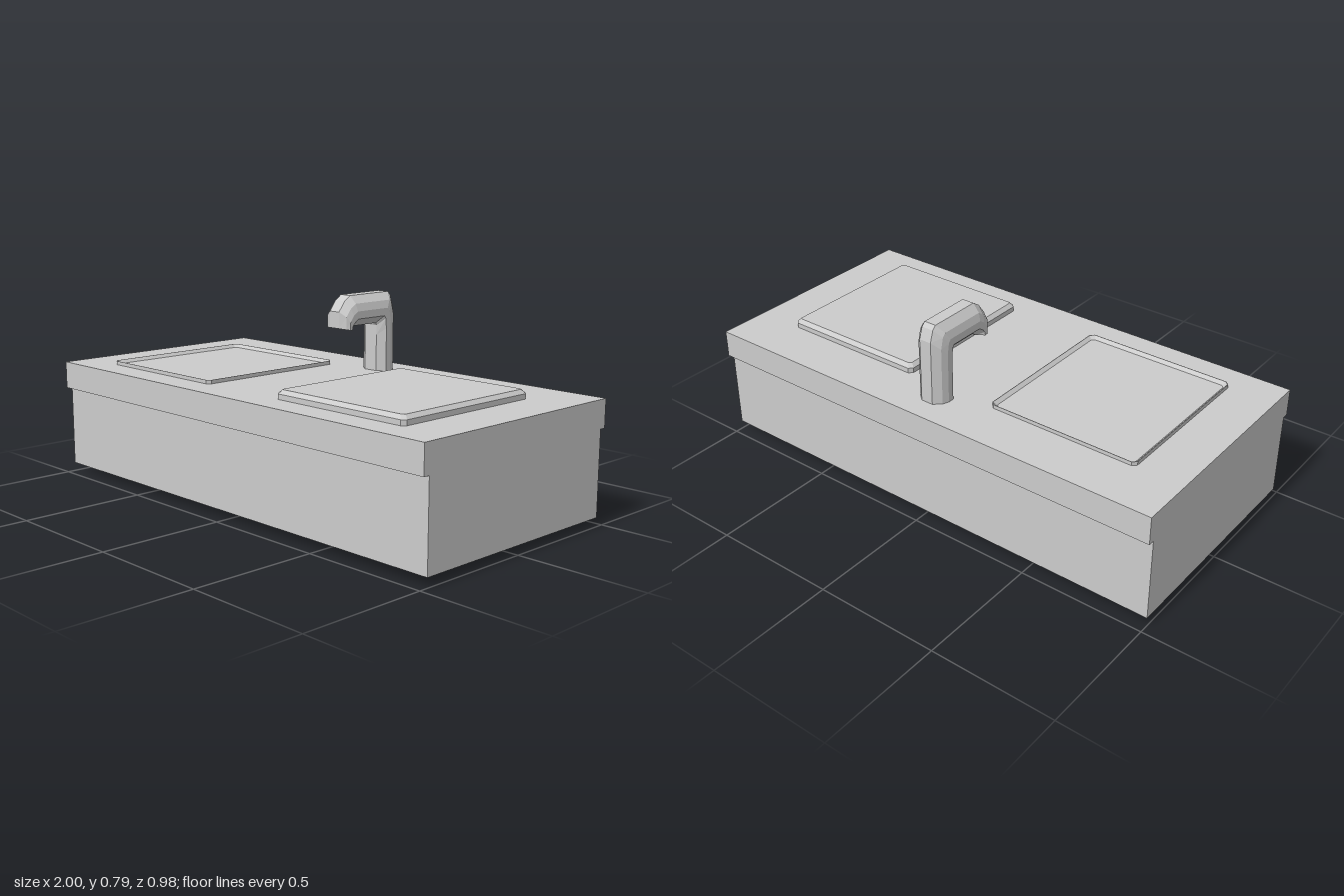
import * as THREE from 'three';

const grey = () => new THREE.MeshStandardMaterial({ color: 0xcccccc, flatShading: true, side: THREE.DoubleSide });

function add(group, name, geometry, x = 0, y = 0, z = 0) {
  const mesh = new THREE.Mesh(geometry, grey());
  mesh.name = name;
  mesh.position.set(x, y, z);
  group.add(mesh);
}

// Skin over equal-length rings of [x, y, z], closing the last ring
function loft(rings) {
  const n = rings[0].length, index = [];
  for (let i = 0; i < rings.length - 1; i++) {
    for (let j = 0; j < n; j++) {
      const a = i * n + j, b = i * n + (j + 1) % n;
      index.push(a, a + n, b, b, a + n, b + n);
    }
  }
  const last = (rings.length - 1) * n;
  for (let k = 1; k < n - 1; k++) index.push(last, last + k + 1, last + k);
  const geo = new THREE.BufferGeometry();
  geo.setAttribute('position', new THREE.Float32BufferAttribute(rings.flat(2), 3));
  geo.setIndex(index);
  const flat = geo.toNonIndexed();
  flat.computeVertexNormals();
  return flat;
}

// Rectangle with clipped corners, clockwise from above
function clippedRect(halfX, halfZ, clip, y) {
  const x = halfX - clip, z = halfZ - clip;
  return [
    [x, y, -halfZ], [halfX, y, -z], [halfX, y, z], [x, y, halfZ],
    [-x, y, halfZ], [-halfX, y, z], [-halfX, y, -z], [-x, y, -halfZ],
  ];
}

// Faucet section spanning from its outer to its inner (z, y) point
function faucetRing([oz, oy, iz, iy]) {
  const half = [[0, 0.4], [0.25, 0.85], [0.5, 1], [0.75, 1], [1, 0.5]];
  const side = half.map(([t, w]) => [0.0625 * w, oy + (iy - oy) * t, oz + (iz - oz) * t]);
  return [...side, ...side.slice().reverse().map(([x, y, z]) => [-x, y, z])];
}

export function createModel() {
  const model = new THREE.Group();
  model.name = 'sinkUnit';

  // Cabinet and overhanging counter
  add(model, 'cabinet', new THREE.BoxGeometry(2, 0.33, 0.93), 0, 0.2, 0);
  add(model, 'counter', new THREE.BoxGeometry(2, 0.11, 0.98), 0, 0.42, 0);

  // Raised bevelled lid on the left
  add(model, 'lid', loft([
    clippedRect(0.31, 0.33, 0.015, 0.47),
    clippedRect(0.31, 0.33, 0.015, 0.495),
    clippedRect(0.295, 0.315, 0.01, 0.51),
  ]), 0.5, 0, 0.045);

  // Shallow open basin with a thin rim on the right
  add(model, 'basin', loft([
    clippedRect(0.31, 0.33, 0.015, 0.47),
    clippedRect(0.31, 0.33, 0.015, 0.49),
    clippedRect(0.308, 0.328, 0.015, 0.49),
    clippedRect(0.295, 0.315, 0.01, 0.477),
  ]), -0.5, 0, 0.045);

  // Faucet: post, bend, arm and downturned spout
  add(model, 'faucet', loft([
    [-0.4, 0.46, -0.3, 0.46],
    [-0.4, 0.73, -0.3, 0.62],
    [-0.385, 0.775, -0.3, 0.66],
    [-0.37, 0.79, -0.295, 0.67],
    [-0.155, 0.79, -0.17, 0.67],
    [-0.125, 0.77, -0.155, 0.66],
    [-0.095, 0.73, -0.15, 0.655],
    [-0.095, 0.665, -0.145, 0.655],
  ].map(faucetRing)), 0.0125, 0, 0);

  // Pipe fitting below the cabinet: rounded head with a narrow arm
  const outline = [
    [-0.05, -0.32], [-0.05, -0.37], [-0.02, -0.4], [0.045, -0.4], [0.075, -0.37],
    [0.075, -0.095], [0.045, -0.095], [0.045, -0.28], [0.02, -0.3], [-0.03, -0.3],
  ].map(([x, z]) => new THREE.Vector2(x, z));
  const fitting = new THREE.ExtrudeGeometry(new THREE.Shape(outline), { depth: 0.04, bevelEnabled: false });
  fitting.rotateX(Math.PI / 2);
  add(model, 'lowerFitting', fitting, 0, 0.04, 0);

  return model;
}
